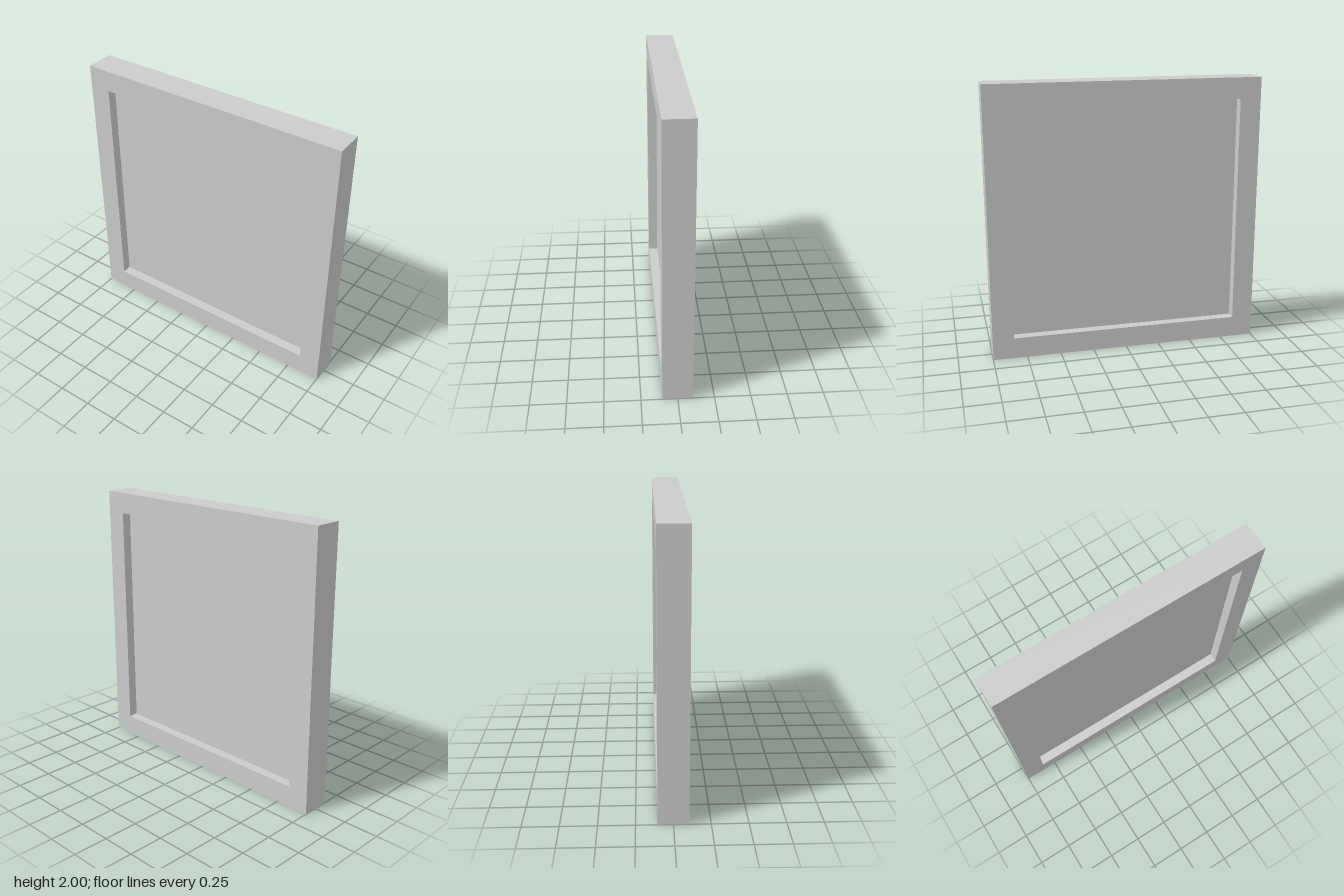
import * as THREE from 'three';

const SIZE = 2, OPENING = 1.69, DEPTH = 0.21, PANE_DEPTH = 0.07;

// Corner points of a centred square
function squarePoints(size) {
  const h = size / 2;
  return [[-h, -h], [h, -h], [h, h], [-h, h]].map(([x, y]) => new THREE.Vector2(x, y));
}

export function createModel() {
  const group = new THREE.Group();
  group.name = 'framedPanel';
  const material = new THREE.MeshStandardMaterial({ color: 0xcccccc, flatShading: true });

  // Square frame with an open middle
  const shape = new THREE.Shape(squarePoints(SIZE));
  shape.holes.push(new THREE.Path(squarePoints(OPENING).reverse()));
  const frameGeometry = new THREE.ExtrudeGeometry(shape, { depth: DEPTH, bevelEnabled: false });
  frameGeometry.translate(0, SIZE / 2, -DEPTH / 2);
  const frame = new THREE.Mesh(frameGeometry, material);
  frame.name = 'frame';
  group.add(frame);

  // Thin pane, recessed equally on both faces
  const pane = new THREE.Mesh(new THREE.BoxGeometry(OPENING, OPENING, PANE_DEPTH), material);
  pane.name = 'pane';
  pane.position.y = SIZE / 2;
  group.add(pane);

  return group;
}
